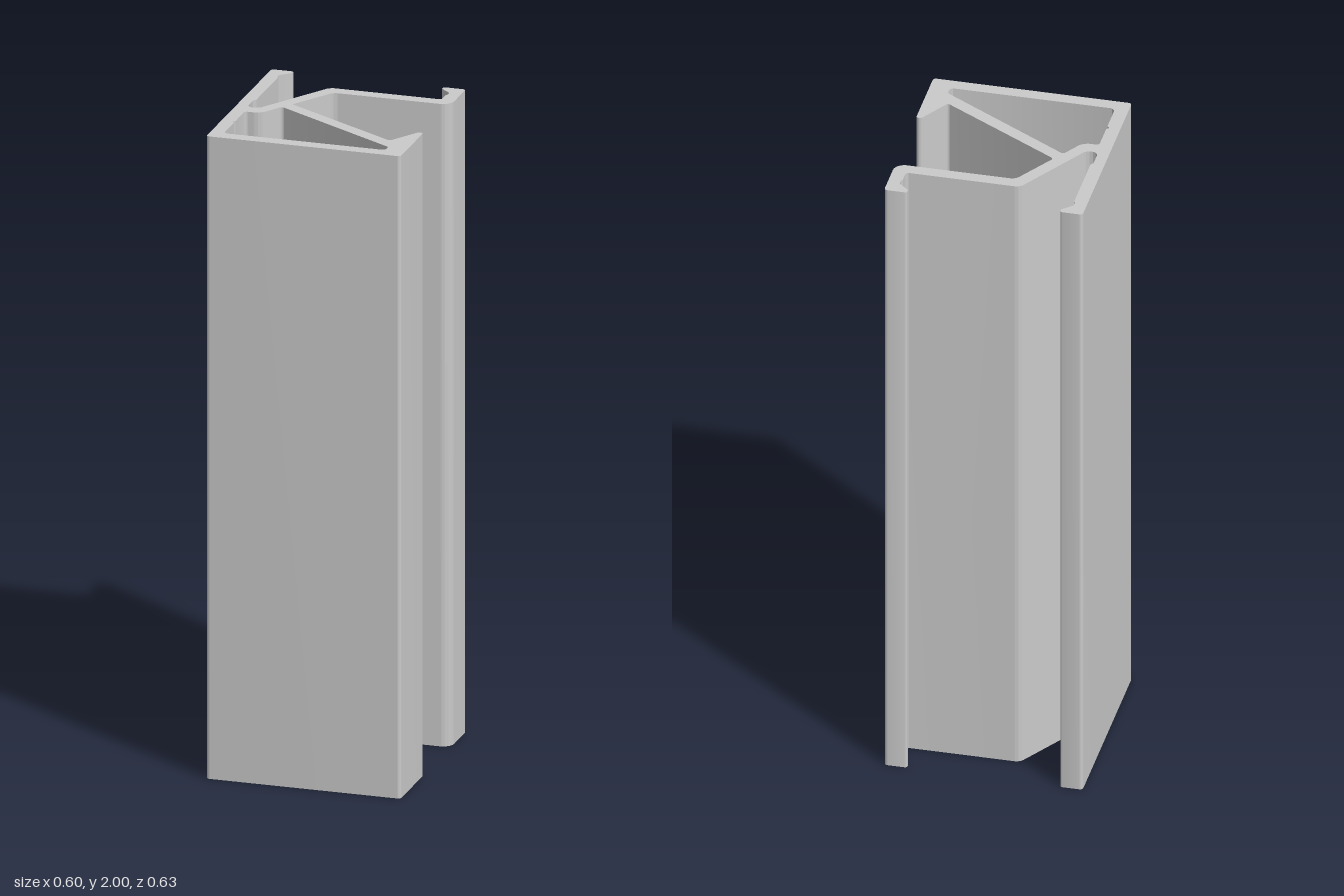
import * as THREE from 'three';
import { toCreasedNormals } from 'three/addons/utils/BufferGeometryUtils.js';

const HEIGHT = 2;

// Trace a closed path through [x, z, cornerRadius] points, rounding each corner with a true arc.
function trace(path, points) {
  const pts = points.map(([x, z]) => new THREE.Vector2(x, -z));
  const n = pts.length;
  pts.forEach((p, i) => {
    const radius = points[i][2];
    if (!radius) {
      path.lineTo(p.x, p.y);
      return;
    }
    const a = pts[(i + n - 1) % n].clone().sub(p);
    const b = pts[(i + 1) % n].clone().sub(p);
    const limit = Math.min(a.length(), b.length()) * 0.49;
    a.normalize();
    b.normalize();
    const half = Math.acos(THREE.MathUtils.clamp(a.dot(b), -1, 1)) / 2;
    const d = Math.min(radius / Math.tan(half), limit);
    const r = d * Math.tan(half);
    const c = a.clone().add(b).normalize().multiplyScalar(d / Math.cos(half)).add(p);
    const s = a.clone().multiplyScalar(d).add(p).sub(c);
    const e = b.clone().multiplyScalar(d).add(p).sub(c);
    if (i === 0) path.moveTo(c.x + s.x, c.y + s.y);
    path.absarc(c.x, c.y, r, s.angle(), e.angle(), a.cross(b) > 0);
  });
  path.closePath();
  return path;
}

export function createModel() {
  const aluminium = new THREE.MeshStandardMaterial({ color: 0xcacaca });
  aluminium.name = 'aluminium grey';

  // Outer outline, clockwise: left wall with lip, groove, slanted step, right lip, diagonal web, front corner
  const section = trace(new THREE.Shape(), [
    [-0.30, -0.316, 0.01], [-0.231, -0.316, 0.01], [-0.231, -0.301, 0.008],
    [-0.263, -0.272, 0.012], [-0.263, -0.256], [-0.259, -0.249],
    [-0.259, -0.04], [-0.266, -0.032], [-0.266, 0.029, 0.02], [-0.23, 0.029, 0.025],
    [-0.085, -0.209, 0.03], [0.259, -0.209, 0.01],
    [0.259, -0.249], [0.263, -0.256], [0.263, -0.272, 0.012],
    [0.231, -0.301, 0.008], [0.231, -0.316, 0.01], [0.30, -0.316, 0.01],
    [0.30, -0.169, 0.035], [-0.062, -0.169, 0.03],
    [-0.1455, -0.034, 0.009], [0.226, 0.19, 0.008],
    [0.284, 0.094, 0.01], [0.30, 0.094, 0.01],
    [0.30, 0.316, 0.01], [-0.30, 0.316, 0.01],
  ]);

  // Enclosed chamber behind the front wall, anticlockwise, with a small notch in the left wall
  section.holes.push(trace(new THREE.Path(), [
    [-0.259, 0.275, 0.016], [0.24, 0.275, 0.015], [0.24, 0.246, 0.015],
    [-0.167, -0.002, 0.009], [-0.211, 0.07, 0.045], [-0.259, 0.07, 0.01],
    [-0.259, 0.16], [-0.267, 0.168], [-0.259, 0.177],
  ]));

  // Sweep the section upwards
  const extruded = new THREE.ExtrudeGeometry(section, {
    depth: HEIGHT, bevelEnabled: false, curveSegments: 16,
  });
  extruded.rotateX(-Math.PI / 2);
  const profile = new THREE.Mesh(toCreasedNormals(extruded, 0.4), aluminium);
  profile.name = 'extrudedProfile';

  const model = new THREE.Group();
  model.name = 'frameProfile';
  model.add(profile);
  return model;
}
